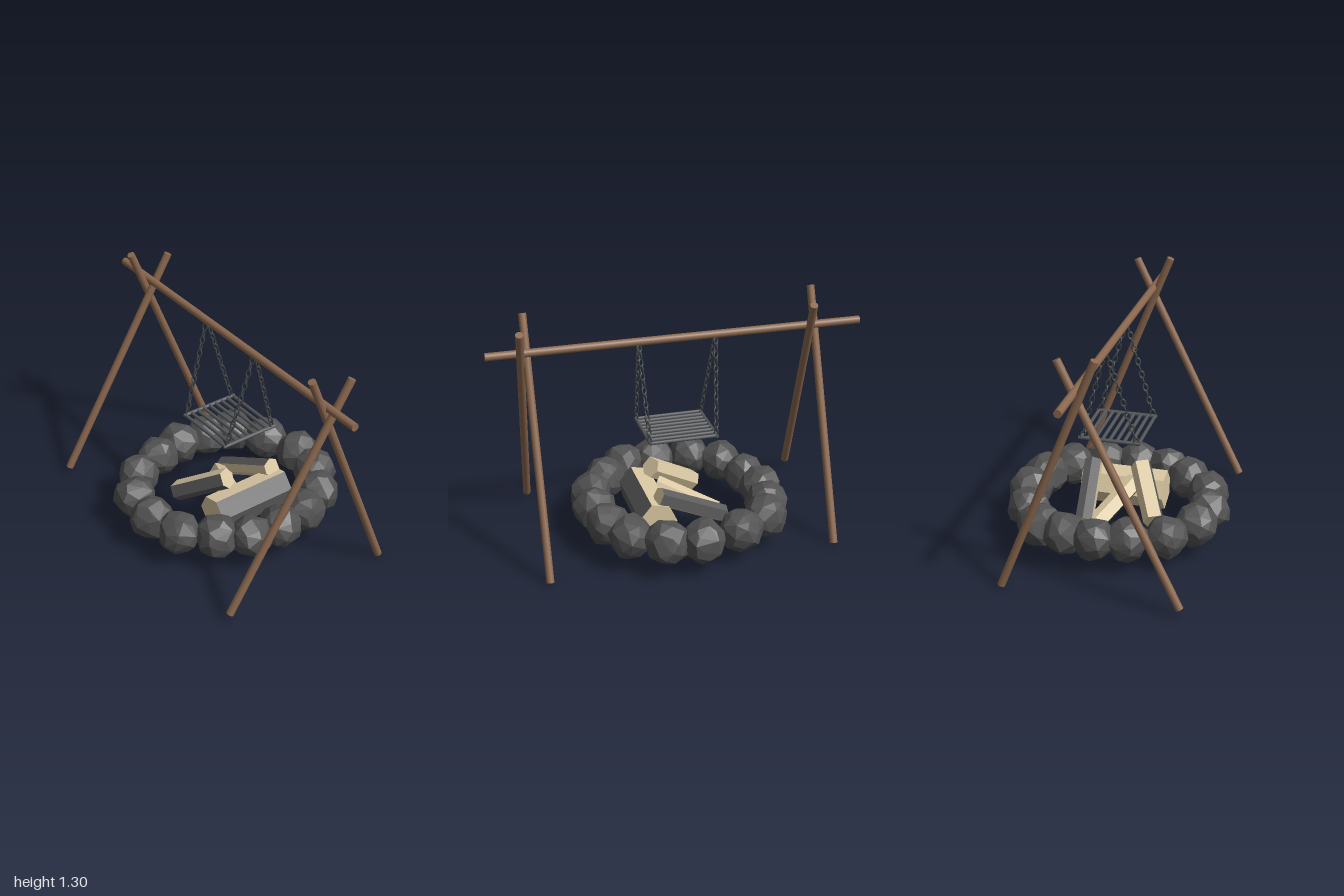
import * as THREE from 'three';
import { ConvexGeometry } from 'three/addons/geometries/ConvexGeometry.js';

const V = (x, y, z) => new THREE.Vector3(x, y, z);
const UP = V(0, 1, 0);

const material = (name, color, flatShading = false) => {
  const m = new THREE.MeshStandardMaterial({ color, flatShading });
  m.name = name;
  return m;
};

// Small seeded random generator
function seeded(seed) {
  return () => {
    seed = (seed * 1664525 + 1013904223) % 4294967296;
    return seed / 4294967296;
  };
}

// Round bar between two points
function bar(name, a, b, radius, mat, sides = 14) {
  const mesh = new THREE.Mesh(new THREE.CylinderGeometry(radius, radius, a.distanceTo(b), sides), mat);
  mesh.name = name;
  mesh.position.copy(a).lerp(b, 0.5);
  mesh.quaternion.setFromUnitVectors(UP, b.clone().sub(a).normalize());
  return mesh;
}

// Faceted boulder: hull of points spread evenly over a jittered sphere
function rockGeometry(radius, random) {
  const points = [];
  const count = 46;
  const turn = random() * 6;
  for (let i = 0; i < count; i++) {
    const y = 1 - (2 * (i + 0.5)) / count + (random() - 0.5) * 0.08;
    const ring = Math.sqrt(Math.max(0, 1 - y * y));
    const angle = i * 2.39996 + turn + (random() - 0.5) * 0.5;
    const r = radius * (0.93 + 0.15 * random());
    points.push(V(Math.cos(angle) * ring * r, y * r, Math.sin(angle) * ring * r));
  }
  return new ConvexGeometry(points);
}

// Split log section, anticlockwise; the first three edges carry bark
const SECTION = [[-0.025, -0.105], [0.085, -0.065], [0.1, 0.025], [0.035, 0.105], [-0.06, 0.085], [-0.105, -0.005]];

function splitLog(a, b, scale, roll, wood, bark) {
  const half = a.distanceTo(b) / 2;
  const n = SECTION.length;
  const c = Math.cos(roll) * scale, s = Math.sin(roll) * scale;
  const at = (i, z) => {
    const [x, y] = SECTION[i % n];
    return [x * c - y * s, x * s + y * c, z];
  };
  const barkPos = [], woodPos = [];
  for (let i = 0; i < n; i++) {
    const side = i < 3 ? barkPos : woodPos;
    const p = at(i, -half), q = at(i + 1, -half), r = at(i + 1, half), t = at(i, half);
    side.push(...p, ...q, ...r, ...p, ...r, ...t);
  }
  for (let i = 1; i < n - 1; i++) {
    woodPos.push(...at(0, half), ...at(i, half), ...at(i + 1, half));
    woodPos.push(...at(0, -half), ...at(i + 1, -half), ...at(i, -half));
  }
  const group = new THREE.Group();
  group.name = 'splitLog';
  for (const [name, pos, mat] of [['logBark', barkPos, bark], ['logWood', woodPos, wood]]) {
    const geo = new THREE.BufferGeometry();
    geo.setAttribute('position', new THREE.Float32BufferAttribute(pos, 3));
    geo.computeVertexNormals();
    const mesh = new THREE.Mesh(geo, mat);
    mesh.name = name;
    group.add(mesh);
  }
  const dir = b.clone().sub(a).normalize();
  const across = UP.clone().cross(dir).normalize();
  const up = dir.clone().cross(across);
  group.quaternion.setFromRotationMatrix(new THREE.Matrix4().makeBasis(across, up, dir));
  group.position.copy(a).lerp(b, 0.5);
  return group;
}

// Chain of long links, each turned a quarter from the last
function chain(a, b, mat) {
  const group = new THREE.Group();
  group.name = 'chain';
  const count = 14;
  const geo = new THREE.TorusGeometry(0.0125, 0.0042, 6, 12).scale(1, 1.55, 1);
  for (let i = 0; i < count; i++) {
    const link = new THREE.Mesh(geo, mat);
    link.name = 'chainLink';
    link.position.copy(a).lerp(b, (i + 0.5) / count);
    link.quaternion.setFromUnitVectors(UP, b.clone().sub(a).normalize());
    link.rotateY((i % 2) * Math.PI / 2 + 0.4);
    group.add(link);
  }
  return group;
}

export function createModel() {
  const model = new THREE.Group();
  model.name = 'campfireGrill';
  const poleWood = material('poleWood', 0x8b684e);
  const stone = material('stone', 0x525252, true);
  const iron = material('iron', 0x54575a);
  const chainIron = material('chainIron', 0x3f4345);
  const splitWood = material('splitWood', 0xdac8a2, true);
  const bark = material('bark', 0x5a5a5a, true);

  // Crossed poles at each end and the ridge pole
  for (const z of [0.785, -0.76]) {
    const frame = new THREE.Group();
    frame.name = 'poleFrame';
    frame.add(
      bar('straightPole', V(0.41, 0.01, z), V(-0.095, 1.3, z), 0.021, poleWood),
      bar('leaningPole', V(-0.535, 0.045, z - 0.05), V(0.11, 1.265, z + 0.052), 0.021, poleWood),
    );
    model.add(frame);
  }
  model.add(bar('ridgePole', V(0.015, 1.12, -1), V(0, 1.12, 1), 0.021, poleWood));

  // Hanging grate
  const grate = new THREE.Group();
  grate.name = 'grate';
  const y = 0.605, x0 = -0.16, x1 = 0.155, z0 = -0.175, z1 = 0.185;
  for (const z of [z0, z1]) grate.add(bar('grateRail', V(x0 - 0.01, y, z), V(x1 + 0.01, y, z), 0.01, iron, 10));
  for (let i = 0; i < 9; i++) {
    const x = x0 + ((x1 - x0) * i) / 8;
    grate.add(bar('grateBar', V(x, y, z0), V(x, y, z1), 0.0095, iron, 10));
  }
  model.add(grate);

  // Four chains from the grate corners up to the ridge pole
  for (const [z, top] of [[z0, -0.205], [z1, 0.207]])
    for (const x of [x0 + 0.008, x1 - 0.008])
      model.add(chain(V(x, y, z), V(0.008 + Math.sign(x) * 0.008, 1.105, top), chainIron));

  // Ring of stones
  const spots = [
    [0, -0.475], [0.17, -0.45], [0.32, -0.4], [0.43, -0.23], [0.49, -0.01], [0.46, 0.18], [0.35, 0.34], [0.185, 0.43],
    [0, 0.46], [-0.18, 0.44], [-0.32, 0.33], [-0.465, 0.19], [-0.505, 0], [-0.48, -0.2], [-0.36, -0.36], [-0.17, -0.44],
  ];
  const random = seeded(7);
  const ring = new THREE.Group();
  ring.name = 'stoneRing';
  for (const [x, z] of spots) {
    const rock = new THREE.Mesh(rockGeometry(0.113 + random() * 0.007, random), stone);
    rock.name = 'ringStone';
    rock.position.set(x, 0.183, z);
    ring.add(rock);
  }
  model.add(ring);

  // Split firewood stacked in the ring: start, end, scale, roll
  const logs = [
    [V(0.23, 0.175, 0.165), V(-0.23, 0.175, 0.165), 1, 0],
    [V(-0.24, 0.15, -0.15), V(-0.1, 0.335, 0.12), 0.55, -2.3],
    [V(0.13, 0.12, -0.22), V(0.18, 0.3, 0.15), 0.5, 1.3],
    [V(0.075, 0.11, -0.2), V(-0.07, 0.24, 0.1), 0.5, -1.3],
  ];
  for (const [a, b, scale, roll] of logs) model.add(splitLog(a, b, scale, roll, splitWood, bark));

  return model;
}
